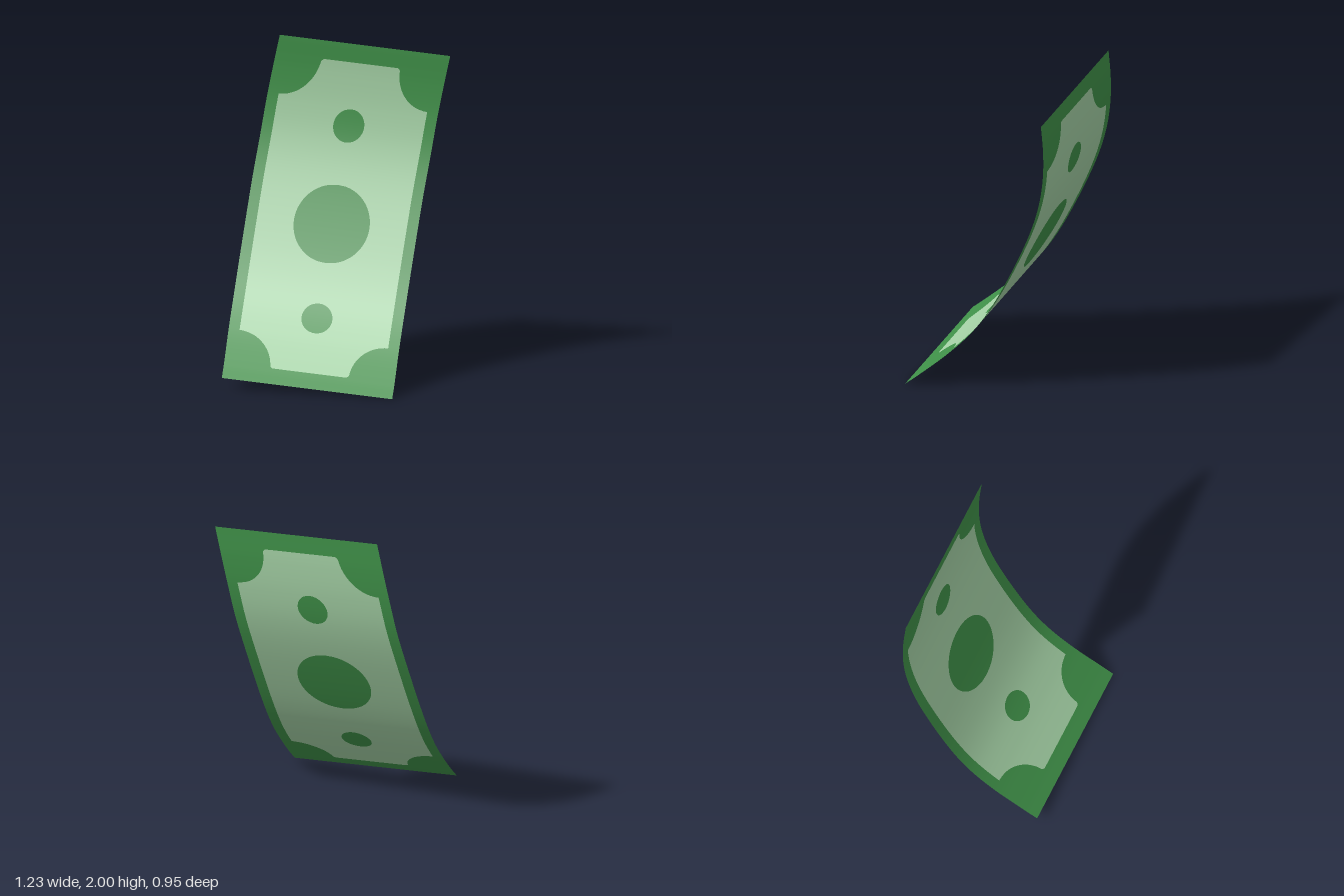
import * as THREE from 'three';

const border = new THREE.MeshStandardMaterial({ color: 0x409249, side: THREE.DoubleSide });
border.name = 'banknote green';
const pale = new THREE.MeshStandardMaterial({ color: 0xa5d2a6, side: THREE.DoubleSide });
pale.name = 'pale green';

// Long edge of the bent sheet, swept sideways along ACROSS
const edge = new THREE.CatmullRomCurve3([
  [-0.585, 0.07, 0.475], [-0.592, 0.14, 0.39], [-0.61, 0.315, 0.195], [-0.617, 0.49, 0.035],
  [-0.613, 0.705, -0.105], [-0.587, 1.145, -0.32], [-0.56, 1.395, -0.41],
  [-0.533, 1.6, -0.453], [-0.497, 1.8, -0.472], [-0.455, 2.0, -0.475],
].map((p) => new THREE.Vector3(...p)), false, 'centripetal');
edge.arcLengthDivisions = 1000;
const ACROSS = new THREE.Vector3(1.068, -0.07, 0);
const LENGTH = edge.getLength();
const HALF = LENGTH / 2;

// Pattern sizes: d is the distance along the sheet from its middle
const PANEL = HALF - 0.118, NOTCH = 0.25, MARGIN = 0.064, SEAL_AT = 0.61;

// Half width of the pale panel, with a scooped notch at each corner
function panelHalf(d) {
  if (d > PANEL) return 0;
  if (d < PANEL - NOTCH) return 0.5 - MARGIN;
  const k = (PANEL - d) / NOTCH;
  const rounding = 0.015 * Math.max(0, 1 - k / 0.08) ** 2;
  return 0.5 - MARGIN - 0.205 * Math.sqrt(Math.max(0, 1 - k * k)) - rounding;
}

// Half width of the round seals: a large one and two small ones
function sealHalf(d) {
  const round = (x, r, w) => w * Math.sqrt(Math.max(0, 1 - (x / r) ** 2));
  return Math.max(round(d, 0.245, 0.221), round(d - SEAL_AT, 0.103, 0.09));
}

// Shared rows along the sheet, with extra ones where the outline jumps
const rows = [];
for (let i = 0; i <= 300; i++) rows.push(-HALF + (LENGTH * i) / 300);
for (const s of [-1, 1]) {
  for (const d of [PANEL, PANEL + 1e-4, PANEL - NOTCH, PANEL - NOTCH + 1e-4, 0.245,
    SEAL_AT - 0.103, SEAL_AT + 0.103]) rows.push(s * d);
}
rows.sort((a, b) => a - b);

// Strip of the sheet between two widthwise limits, given per row
function strip(name, material, low, high) {
  const pos = [], nor = [], index = [];
  const p = new THREE.Vector3();
  rows.forEach((s, i) => {
    const t = THREE.MathUtils.clamp((s + HALF) / LENGTH, 0, 1);
    const base = edge.getPointAt(t);
    const n = ACROSS.clone().cross(edge.getTangentAt(t)).normalize();
    const limits = [low(Math.abs(s)), high(Math.abs(s))];
    for (const u of limits) {
      p.copy(base).addScaledVector(ACROSS, u);
      pos.push(p.x, p.y, p.z);
      nor.push(n.x, n.y, n.z);
    }
    if (i === 0) return;
    const a = 2 * i - 2;
    const wide = (r) => Math.abs(pos[r * 6 + 3] - pos[r * 6]) > 1e-6;
    if (wide(i - 1)) index.push(a, a + 1, a + 3);
    if (wide(i)) index.push(a, a + 3, a + 2);
  });
  const g = new THREE.BufferGeometry();
  g.setAttribute('position', new THREE.Float32BufferAttribute(pos, 3));
  g.setAttribute('normal', new THREE.Float32BufferAttribute(nor, 3));
  g.setIndex(index);
  const mesh = new THREE.Mesh(g, material);
  mesh.name = name;
  return mesh;
}

export function createModel() {
  const group = new THREE.Group();
  group.name = 'banknote';
  group.add(
    strip('rightBorder', border, () => 0, (d) => 0.5 - panelHalf(d)),
    strip('rightPanel', pale, (d) => 0.5 - panelHalf(d), (d) => 0.5 - sealHalf(d)),
    strip('seals', border, (d) => 0.5 - sealHalf(d), (d) => 0.5 + sealHalf(d)),
    strip('leftPanel', pale, (d) => 0.5 + sealHalf(d), (d) => 0.5 + panelHalf(d)),
    strip('leftBorder', border, (d) => 0.5 + panelHalf(d), () => 1),
  );
  return group;
}
